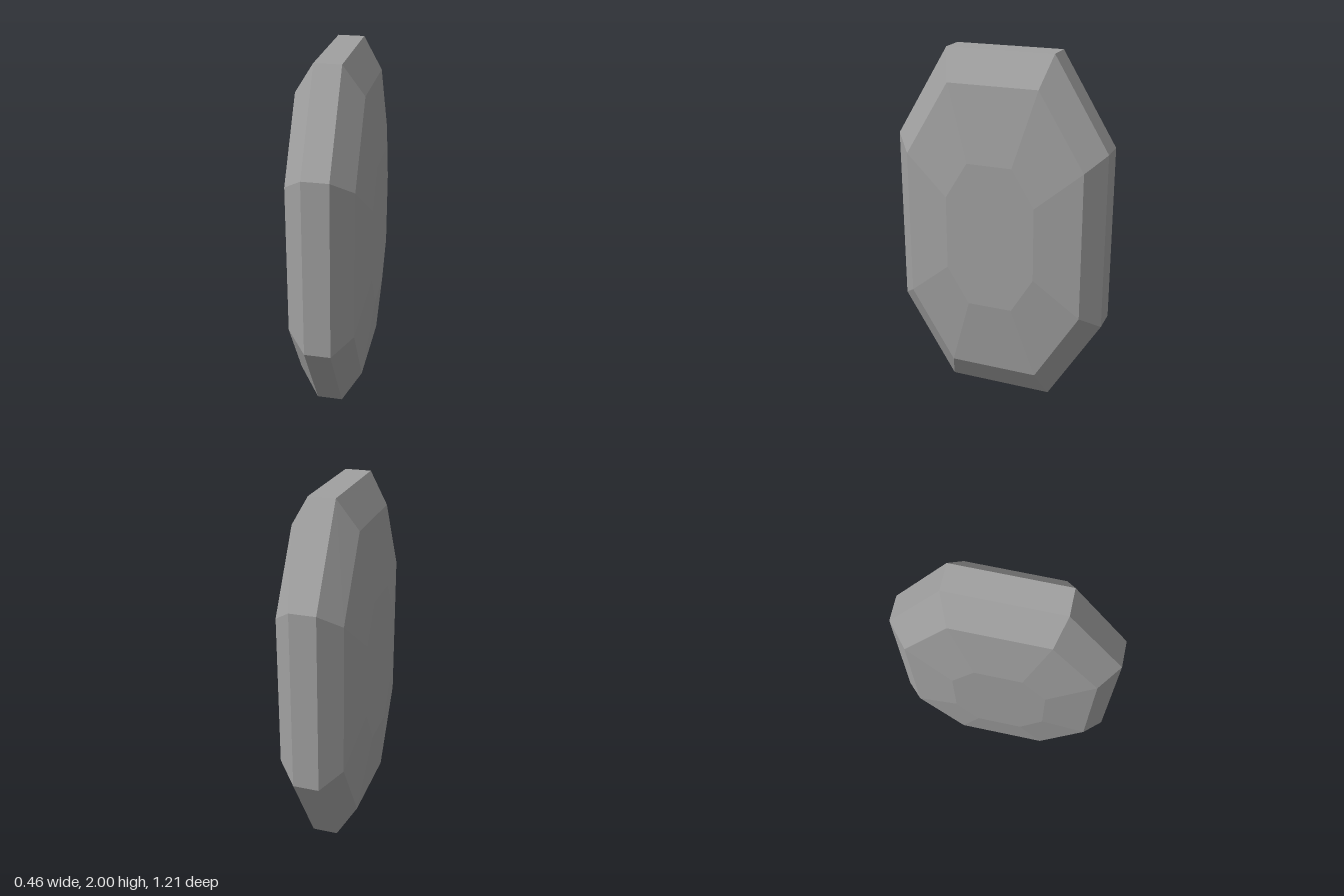
import * as THREE from 'three';

// Eight corners of an elongated octagon, counter-clockwise seen from +x
function ring(x, topY, topZ, sideY, sideZ) {
  const quarter = [[topY, topZ], [sideY, sideZ]];
  const points = [
    ...quarter,
    [-sideY, sideZ], [-topY, topZ],
    [-topY, -topZ], [-sideY, -sideZ],
    [sideY, -sideZ], [topY, -topZ],
  ];
  return points.map(([y, z]) => new THREE.Vector3(x, y + 1, z));
}

// Flat-faceted solid lofted through the rings, closed at both ends
function loft(rings) {
  const pos = [];
  const tri = (...corners) => corners.forEach((p) => pos.push(p.x, p.y, p.z));
  const n = rings[0].length;
  for (let r = 0; r < rings.length - 1; r++) {
    const a = rings[r], b = rings[r + 1];
    for (let i = 0; i < n; i++) {
      const j = (i + 1) % n;
      tri(a[i], a[j], b[j]);
      tri(a[i], b[j], b[i]);
    }
  }
  const first = rings[0], last = rings[rings.length - 1];
  for (let i = 1; i < n - 1; i++) {
    tri(first[0], first[i + 1], first[i]);
    tri(last[0], last[i], last[i + 1]);
  }
  const geometry = new THREE.BufferGeometry();
  geometry.setAttribute('position', new THREE.Float32BufferAttribute(pos, 3));
  geometry.computeVertexNormals();
  return geometry;
}

export function createModel() {
  const group = new THREE.Group();
  group.name = 'cutGem';
  const stoneGrey = new THREE.MeshStandardMaterial({ color: 0xa0a0a0, flatShading: true });
  stoneGrey.name = 'stoneGrey';

  // Half profile: x, topY, topZ, sideY, sideZ from girdle to table
  const half = [
    [0.072, 1, 0.303, 0.5, 0.607],
    [0.18, 0.832, 0.255, 0.418, 0.508],
    [0.229, 0.415, 0.128, 0.208, 0.255],
  ];
  const mirrored = half.map(([x, ...rest]) => [-x, ...rest]).reverse();
  const gem = new THREE.Mesh(loft([...mirrored, ...half].map((p) => ring(...p))), stoneGrey);
  gem.name = 'gemBody';
  group.add(gem);
  return group;
}
